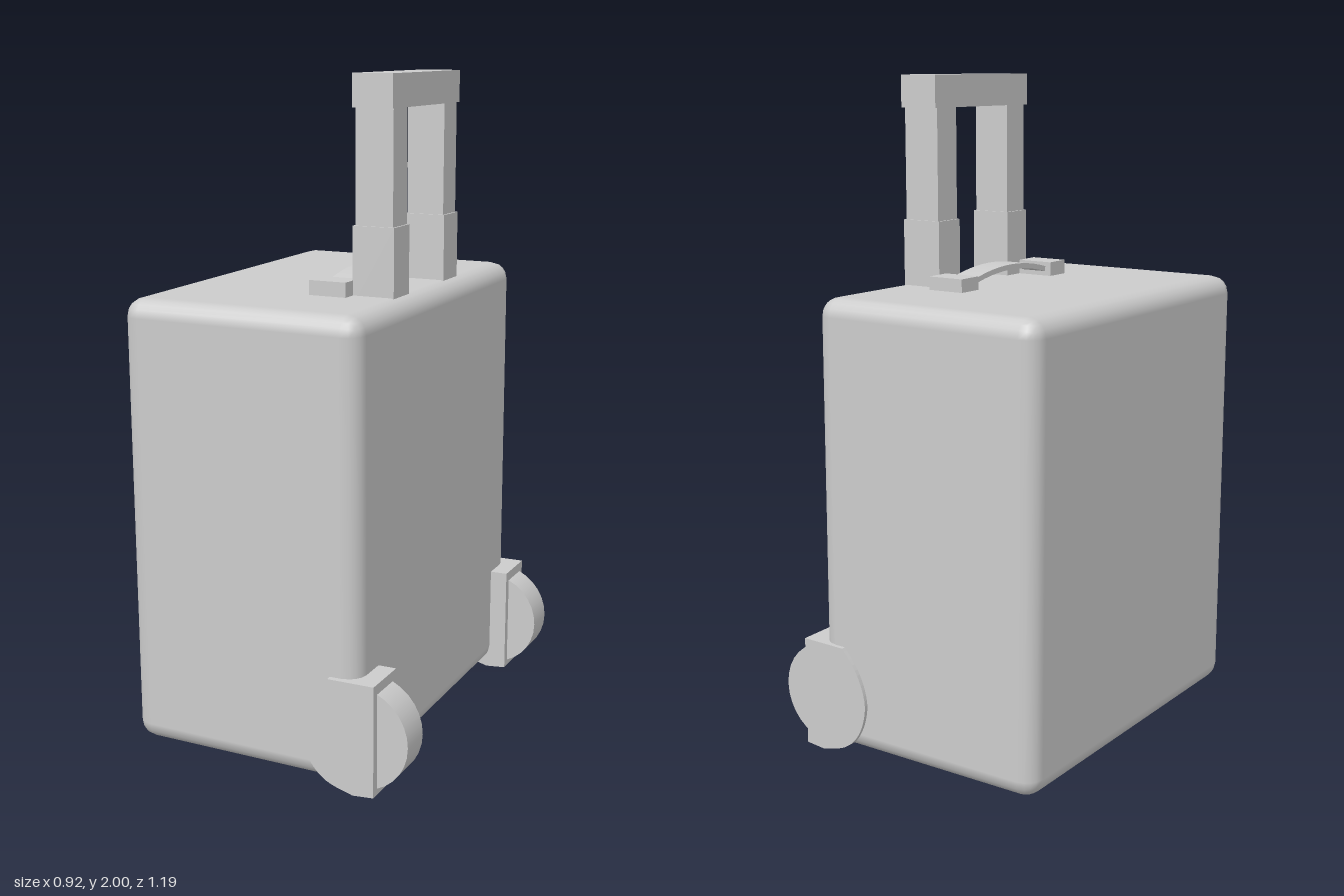
import * as THREE from 'three';
import { RoundedBoxGeometry } from 'three/addons/geometries/RoundedBoxGeometry.js';

export function createModel() {
  const model = new THREE.Group();
  model.name = 'suitcase';
  // the whole case stands turned very slightly
  model.rotation.y = -0.017;
  const material = new THREE.MeshStandardMaterial({ color: 0xcccccc });

  function add(parent, name, geometry, x = 0, y = 0, z = 0) {
    const mesh = new THREE.Mesh(geometry, material);
    mesh.name = name;
    mesh.position.set(x, y, z);
    parent.add(mesh);
    return mesh;
  }
  function group(name, x, y, z) {
    const g = new THREE.Group();
    g.name = name;
    g.position.set(x, y, z);
    model.add(g);
    return g;
  }
  const box = (w, h, d) => new THREE.BoxGeometry(w, h, d);

  // body shell with softened edges, leaning a touch
  const body = add(model, 'body', new RoundedBoxGeometry(0.755, 1.355, 1.155, 2, 0.055), -0.078, 0.699, 0);
  body.rotation.x = 0.007;

  // telescopic pull handle: sleeves, tubes and grip
  const pull = group('pullHandle', 0.188, 0, 0.021);
  for (const side of [-1, 1]) {
    add(pull, 'handleSleeve', box(0.13, 0.23, 0.105), 0, 1.46, side * 0.18);
    add(pull, 'handleTube', box(0.118, 0.36, 0.094), 0, 1.735, side * 0.18);
  }
  add(pull, 'handleGrip', box(0.125, 0.095, 0.48), 0, 1.9525, 0);

  // carry handle: two mounts and an arched strap
  const carry = group('carryHandle', 0.065, 1.37, 0.02);
  for (const side of [-1, 1]) add(carry, 'carryMount', box(0.118, 0.05, 0.083), 0, 0.023, side * 0.238);
  const strap = new THREE.Shape();
  strap.moveTo(-0.2, 0.02);
  strap.quadraticCurveTo(0, 0.09, 0.2, 0.02);
  strap.lineTo(0.2, 0.035);
  strap.lineTo(0.2, 0.036);
  strap.quadraticCurveTo(0, 0.084, -0.2, 0.036);
  strap.closePath();
  // plain constant-thickness arch replaces the pinched outline
  const arch = new THREE.Shape();
  arch.moveTo(-0.2, 0.018);
  arch.quadraticCurveTo(0, 0.072, 0.2, 0.018);
  arch.lineTo(0.2, 0.034);
  arch.quadraticCurveTo(0, 0.088, -0.2, 0.034);
  arch.closePath();
  const archGeometry = new THREE.ExtrudeGeometry(arch, { depth: 0.08, bevelEnabled: false, curveSegments: 12 });
  archGeometry.translate(0, 0, -0.04).rotateY(Math.PI / 2);
  add(carry, 'carryStrap', archGeometry);

  // wheel housings, rounded inward and flat outward, each holding a wheel
  const outline = new THREE.Shape();
  outline.moveTo(0.355, 0.345);
  outline.lineTo(0.21, 0.343);
  outline.splineThru([
    [0.155, 0.27], [0.128, 0.18], [0.15, 0.09], [0.205, 0.032], [0.29, 0.004],
  ].map(([x, y]) => new THREE.Vector2(x, y)));
  outline.lineTo(0.355, 0.01);
  outline.closePath();
  const housing = new THREE.ExtrudeGeometry(outline, { depth: 0.15, bevelEnabled: false, curveSegments: 5 });
  housing.translate(0, 0, -0.075);
  const wheel = new THREE.CylinderGeometry(0.155, 0.155, 0.103, 32).rotateX(Math.PI / 2);
  for (const side of [-1, 1]) {
    const unit = group(side > 0 ? 'leftWheelUnit' : 'rightWheelUnit', 0, 0, side * 0.518);
    add(unit, 'wheelHousing', housing);
    add(unit, 'wheel', wheel, 0.295, 0.172, 0);
  }

  return model;
}
